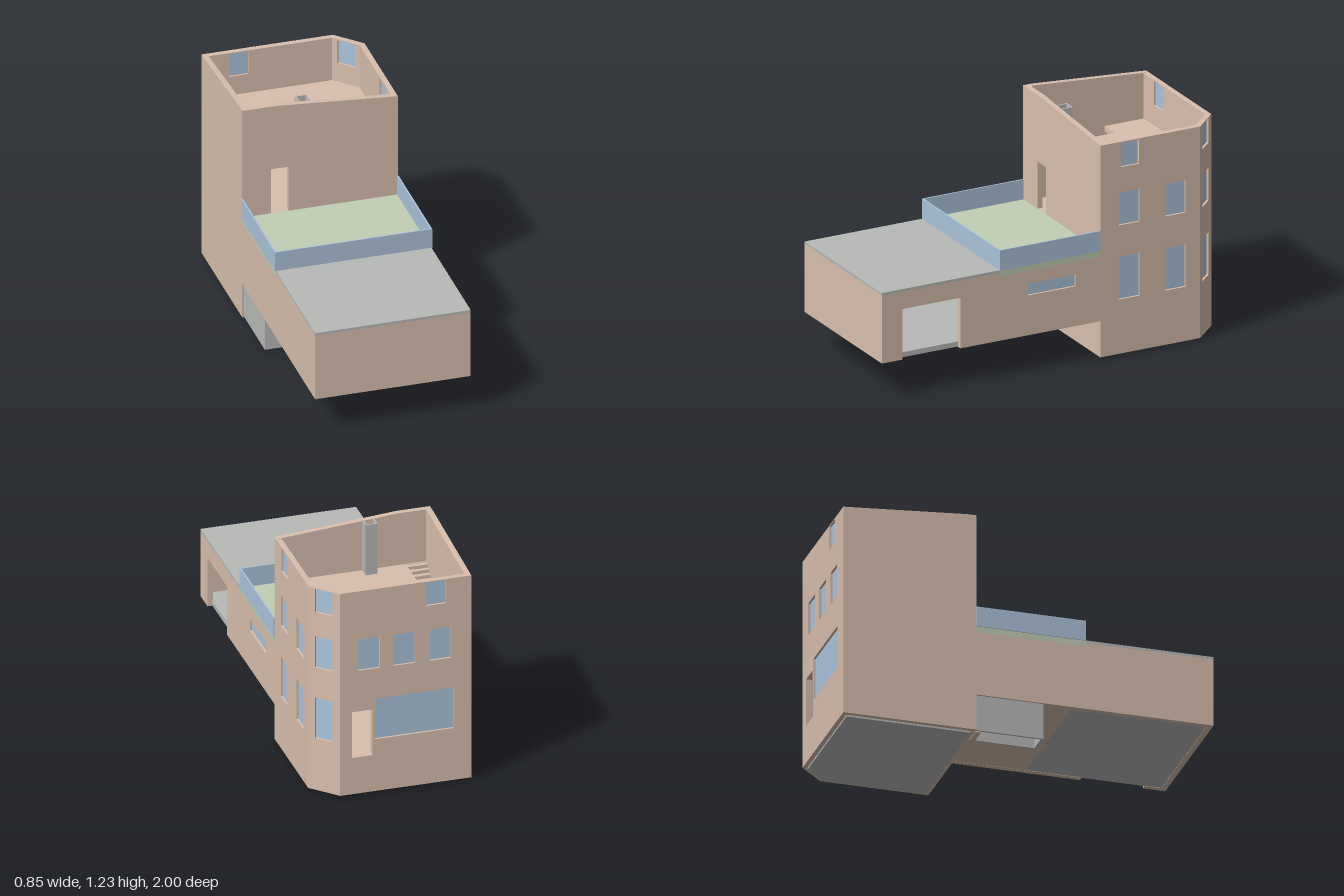
import * as THREE from 'three';

const T = 0.03; // wall thickness
const mat = (name, color) => Object.assign(new THREE.MeshStandardMaterial({ color }), { name });

export function createModel() {
  const plaster = mat('plaster', 0xd8bfad);
  const concrete = mat('concrete', 0xb8bab8);
  const glass = mat('glass', 0xacc4dc);
  const lawn = mat('lawn', 0xc2ceb5);

  const model = new THREE.Group();
  model.name = 'house';

  const add = (parent, name, geometry, material) => {
    const mesh = new THREE.Mesh(geometry, material);
    mesh.name = name;
    parent.add(mesh);
    return mesh;
  };

  // Box given by its limits on each axis
  const box = (name, material, [x0, x1], [y0, y1], [z0, z1], parent = model) => {
    const mesh = add(parent, name, new THREE.BoxGeometry(x1 - x0, y1 - y0, z1 - z0), material);
    mesh.position.set((x0 + x1) / 2, (y0 + y1) / 2, (z0 + z1) / 2);
    return mesh;
  };

  const toPoints = (list) => list.map(([x, y]) => new THREE.Vector2(x, y));
  const rect = ([u0, u1, v0, v1]) => [[u0, v0], [u0, v1], [u1, v1], [u1, v0]];

  // Wall from a to b (x, z), thickened inwards; windows get a recessed pane
  const wall = (name, [ax, az], [bx, bz], outline, windows = [], openings = []) => {
    const group = new THREE.Group();
    group.name = name;
    group.position.set(ax, 0, az);
    group.rotation.y = Math.atan2(az - bz, bx - ax);
    const shape = new THREE.Shape(toPoints(outline));
    for (const hole of [...windows, ...openings]) shape.holes.push(new THREE.Path(toPoints(rect(hole))));
    add(group, name + 'Panel', new THREE.ExtrudeGeometry(shape, { depth: T, bevelEnabled: false }), plaster);
    for (const [u0, u1, v0, v1] of windows) {
      box('windowPane', glass, [u0, u1], [v0, v1], [0.012, 0.02], group);
    }
    model.add(group);
  };

  // Horizontal slab with an optional hole, points as (x, z)
  const slab = (name, material, points, y0, y1, hole) => {
    const shape = new THREE.Shape(toPoints(points.map(([x, z]) => [x, -z])));
    if (hole) shape.holes.push(new THREE.Path(toPoints(hole.map(([x, z]) => [x, -z]))));
    const geometry = new THREE.ExtrudeGeometry(shape, { depth: y1 - y0, bevelEnabled: false });
    add(model, name, geometry.rotateX(-Math.PI / 2).translate(0, y0, 0), material);
  };

  // Tower walls
  const LOW = [0.31, 0.545], MID = [0.72, 0.9], TOP = [1.04, 1.174];
  const flat = (len) => [[0, 0.01], [len, 0.01], [len, 1.18], [0, 1.18]];
  wall('towerFrontWall', [0.42, -0.28], [-0.42, -0.28],
    [[0, 0.01], [0.84, 0.01], [0.84, 1.23], [0.66, 1.23], [0, 1.18]], [], [[0.59, 0.685, 0.6, 0.86]]);
  wall('towerLeftWall', [-0.42, -0.28], [-0.42, -1],
    [[0, 0.01], [0.72, 0.01], [0.72, 1.18], [0.05, 1.23], [0, 1.23]]);
  wall('towerBackWall', [-0.42, -1], [0.29, -1], flat(0.71), [
    [0.097, 0.52, ...LOW],
    [0.11, 0.225, ...MID], [0.305, 0.42, ...MID], [0.495, 0.61, ...MID],
    [0.14, 0.245, ...TOP],
  ], [[0.535, 0.645, 0.22, 0.485]]);
  const cut = Math.hypot(0.13, 0.135);
  wall('towerCornerWall', [0.29, -1], [0.42, -0.865], flat(cut),
    [LOW, MID, TOP].map((row) => [0.045, 0.147, ...row]));
  wall('towerRightWall', [0.42, -0.865], [0.42, -0.28], flat(0.585), [
    [0.085, 0.205, ...LOW], [0.355, 0.475, ...LOW],
    [0.085, 0.205, ...MID], [0.355, 0.475, ...MID],
    [0.36, 0.465, ...TOP],
  ]);

  // Tower floors
  const plan = [[-0.395, -0.305], [0.395, -0.305], [0.395, -0.855], [0.28, -0.975], [-0.395, -0.975]];
  slab('towerBase', concrete, plan, 0, 0.02);
  slab('lowerFloor', plaster, plan, 0.19, 0.21);
  slab('middleFloor', plaster, plan, 0.57, 0.6);
  slab('roofTerrace', plaster, plan, 0.9, 0.93,
    [[-0.39, -0.32], [-0.39, -0.74], [-0.28, -0.74], [-0.28, -0.32]]);

  // Stairs rising towards the front, up to the roof terrace
  const steps = 18, run = 0.42 / steps, rise = 0.33 / steps;
  for (let i = 0; i < steps; i++) {
    const y = 0.6 + (i + 1) * rise, z = -0.74 + i * run;
    box('stairStep', plaster, [-0.39, -0.28], [y - 0.036, y - 0.002], [z, z + run]);
  }
  box('stairPartition', concrete, [-0.39, 0], [0.6, 0.9], [-0.78, -0.76]);

  // Chimney duct against the front wall
  box('chimneyBack', concrete, [-0.11, -0.045], [0.93, 1.22], [-0.37, -0.362]);
  box('chimneySideRight', concrete, [-0.11, -0.102], [0.93, 1.22], [-0.362, -0.31]);
  box('chimneySideLeft', concrete, [-0.053, -0.045], [0.93, 1.22], [-0.362, -0.31]);

  // Raised front wing, with the garage opening in its left side
  wall('wingLeftWall', [0.42, -0.28], [0.42, 1], [
    [0, 0.21], [0.82, 0.21], [0.82, 0.49], [1.16, 0.49], [1.16, 0.21], [1.28, 0.21],
    [1.28, 0.585], [0.59, 0.585], [0.59, 0.565], [0, 0.565],
  ].map(([u, v]) => [u, v]), [[0.145, 0.425, 0.43, 0.495]]);
  wall('wingFrontWall', [0.42, 1], [-0.42, 1], [[0, 0.21], [0.84, 0.21], [0.84, 0.585], [0, 0.585]]);
  wall('wingRightWall', [-0.42, 1], [-0.42, -0.28],
    [[0, 0.21], [1.28, 0.21], [1.28, 0.565], [0.69, 0.565], [0.69, 0.585], [0, 0.585]]);
  box('garageFloor', concrete, [-0.39, 0.395], [0.212, 0.24], [0.24, 0.97]);
  box('hallFloor', plaster, [-0.39, 0.39], [0.211, 0.24], [-0.28, 0.24]);
  box('garagePartition', concrete, [-0.39, 0.39], [0.24, 0.56], [0.22, 0.24]);
  box('garageCeiling', plaster, [-0.39, 0.39], [0.55, 0.584], [0.24, 0.97]);
  box('garageRoof', concrete, [-0.42, 0.42], [0.585, 0.6], [0.31, 1]);
  box('terraceLawn', lawn, [-0.42, 0.42], [0.565, 0.6], [-0.28, 0.31]);

  // Glass parapet around the terrace
  for (const x of [-0.42, 0.42]) box('parapetSide', glass, [x - 0.004, x + 0.004], [0.598, 0.71], [-0.28, 0.31]);
  box('parapetFront', glass, [-0.424, 0.424], [0.598, 0.71], [0.303, 0.311]);

  // Hollow entrance box below the wing
  for (const x of [-0.41, -0.287]) box('entranceSide', concrete, [x, x + 0.012], [0.012, 0.212], [-0.28, 0.085]);
  box('entranceFront', concrete, [-0.398, -0.287], [0.012, 0.212], [0.073, 0.085]);
  box('entranceSill', plaster, [-0.4, -0.3], [0.005, 0.02], [-0.28, -0.25]);

  return model;
}
